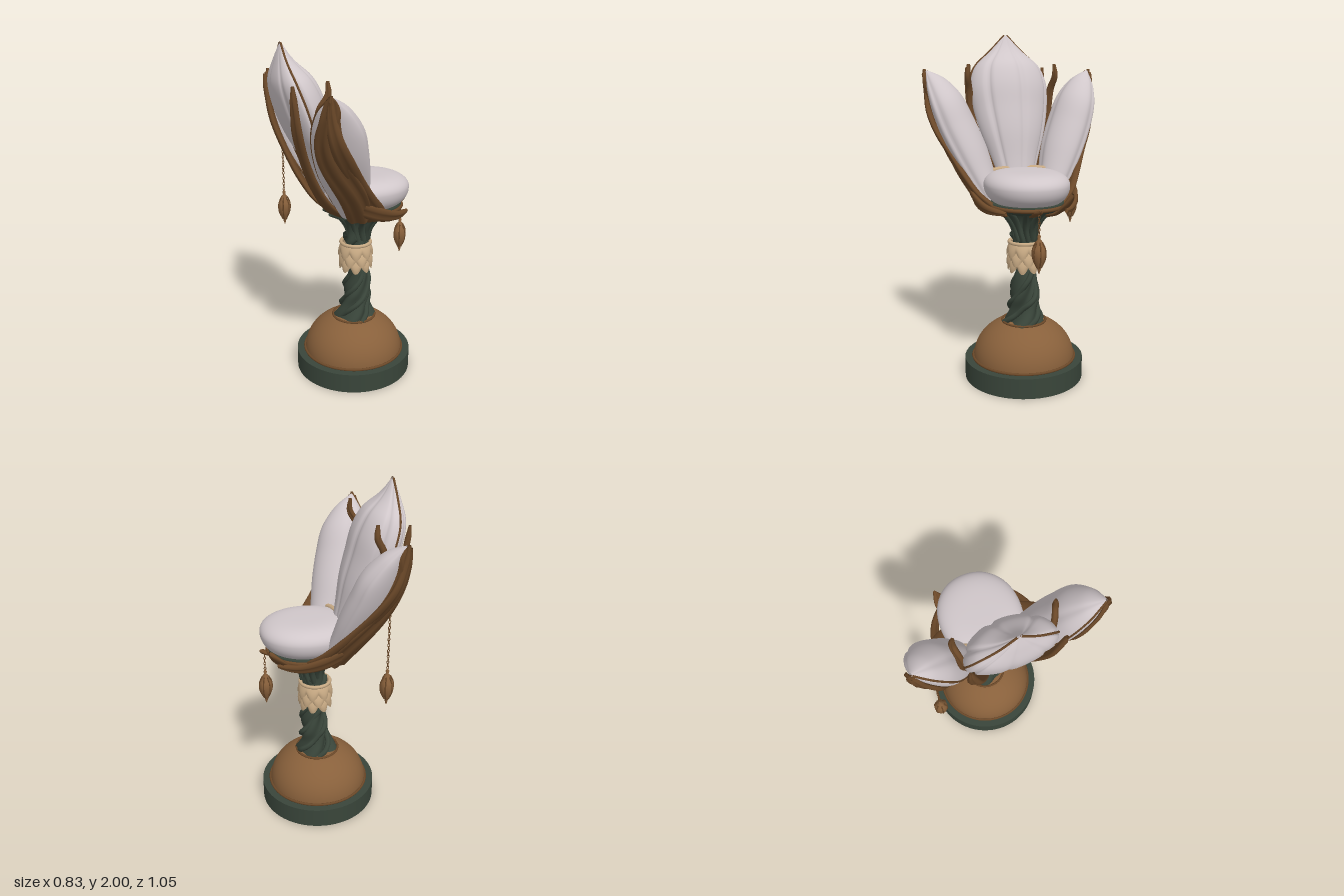
import * as THREE from 'three';

const mat = (name, color) => {
  const m = new THREE.MeshStandardMaterial({ color, side: THREE.DoubleSide });
  m.name = name;
  return m;
};
const V = (x, y, z) => new THREE.Vector3(x, y, z);
const TAU = Math.PI * 2;

// Surface from a rule f(u, angle): loops of m points, n rows
function loft(f, n, m) {
  const pos = [], idx = [];
  for (let i = 0; i <= n; i++)
    for (let j = 0; j < m; j++) pos.push(...f(i / n, (j / m) * TAU).toArray());
  for (let i = 0; i < n; i++)
    for (let j = 0; j < m; j++) {
      const a = i * m + j, b = i * m + ((j + 1) % m);
      idx.push(a, a + m, b, b, a + m, b + m);
    }
  const g = new THREE.BufferGeometry();
  g.setAttribute('position', new THREE.Float32BufferAttribute(pos, 3));
  g.setIndex(idx);
  g.computeVertexNormals();
  return g;
}

// Smooth path through [x, y, z, width] points; s mirrors it in z
function path(pts, s = 1) {
  const c = new THREE.CatmullRomCurve3(pts.map(p => V(p[0], p[1], p[2] * s)));
  const w = new THREE.CatmullRomCurve3(pts.map((p, i) => V(p[3], i, 0)));
  return { at: t => c.getPoint(t), dir: t => c.getTangent(t), width: t => Math.max(0.002, w.getPoint(t).x) };
}

// Puffed petal: point on the surface at height t and angle a (front is 0..PI)
function petalRule(pts, s, side, front, puffFront, puffBack) {
  const p = path(pts, s);
  return (t, a, grow = 0, seams = 0) => {
    const T = p.dir(t), w = p.width(t);
    const N = front.clone().addScaledVector(T, -front.dot(T)).normalize();
    const groove = seams ? 1 - 0.07 * Math.pow(Math.abs(Math.cos(seams * a)), 24) : 1;
    const d = Math.sin(a) > 0 ? puffFront : puffBack;
    return p.at(t)
      .addScaledVector(side, Math.cos(a) * (w * groove + grow))
      .addScaledVector(N, Math.sin(a) * (w * d * groove + grow));
  };
}

// Tapered flat leaf along a path, lying against the flower
function leaf(pts, s, thick) {
  const p = path(pts, s);
  return loft((t, a) => {
    const c = p.at(t), T = p.dir(t), w = p.width(t);
    const out = V(c.x - 0.12, -0.12, c.z);
    out.addScaledVector(T, -out.dot(T)).normalize();
    const W = T.clone().cross(out);
    const ridge = 1 + 0.35 * Math.cos(2 * a) * Math.cos(4 * a);
    return c.addScaledVector(W, Math.cos(a) * w)
      .addScaledVector(out, Math.sin(a) * Math.min(thick, w) * ridge);
  }, 36, 20);
}

export function createModel() {
  const green = mat('dark green', 0x39453a), brown = mat('bark brown', 0x6c4929);
  const warm = mat('warm brown', 0x88603b), white = mat('petal white', 0xd0c7ca), cream = mat('cream', 0xc8aa84);
  const model = new THREE.Group();
  const add = (name, geo, m, parent = model) => {
    const mesh = new THREE.Mesh(geo, m);
    mesh.name = name;
    parent.add(mesh);
    return mesh;
  };
  const ring = (name, r, tube, x, y, m) => {
    const mesh = add(name, new THREE.TorusGeometry(r, tube, 8, 48), m);
    mesh.rotation.x = Math.PI / 2;
    mesh.position.set(x, y, 0);
    return mesh;
  };

  // Base
  add('basePlinth', new THREE.CylinderGeometry(0.35, 0.35, 0.118, 64), green).position.set(0.062, 0.059, 0);
  const arc = [];
  for (let i = 0; i <= 16; i++) {
    const a = (i / 16) * 1.13;
    arc.push(new THREE.Vector2(0.298 * Math.cos(a), 0.118 + 0.245 * Math.sin(a)));
  }
  arc.push(new THREE.Vector2(0, 0.34));
  add('baseDome', new THREE.LatheGeometry(arc, 56), warm).position.x = 0.062;
  ring('domeBottomRing', 0.302, 0.008, 0.062, 0.124, brown);
  ring('domeTopRing', 0.128, 0.007, 0.065, 0.341, brown);

  // Twisted stem
  const prof = path([[0.07, 0.335, 0, 0.11], [0.075, 0.42, 0, 0.08], [0.085, 0.5, 0, 0.076], [0.09, 0.6, 0, 0.06],
    [0.078, 0.7, 0, 0.055], [0.08, 0.82, 0, 0.066], [0.085, 0.9, 0, 0.07], [0.09, 0.96, 0, 0.09], [0.095, 1.01, 0, 0.13], [0.1, 1.05, 0, 0.19]]);
  add('stem', loft((t, a) => {
    const c = prof.at(t), tw = a + Math.min(c.y, 0.85) * 8;
    const r = prof.width(t) * (1 + 0.14 * Math.cos(4 * tw) + 0.1 * Math.cos(2 * tw + 1));
    return V(c.x + Math.cos(a) * r, c.y, Math.sin(a) * r);
  }, 70, 60), green);
  for (let i = 0; i < 4; i++) {
    const pts = [];
    for (let k = 0; k <= 14; k++) {
      const t = (k / 14) * 0.62, a = i * 1.6 - k * 0.42, c = prof.at(t);
      const r = prof.width(t) * (1 + 0.12 * Math.sin(k * 1.3 + i * 2));
      pts.push(V(c.x + Math.cos(a) * r, c.y, Math.sin(a) * r));
    }
    add('stemVine', new THREE.TubeGeometry(new THREE.CatmullRomCurve3(pts), 50, 0.017, 7), green);
  }
  // Branches spreading under the seat
  for (let i = 0; i < 12; i++) {
    const a = (i / 12) * TAU + 0.26, q = (r, y, k = 0) => V(0.095 + Math.cos(a + k) * r, y, Math.sin(a + k) * r);
    const c = new THREE.CatmullRomCurve3([q(0.055, 0.84, -0.3), q(0.075, 0.92), q(0.125, 0.99), q(0.21, 1.04)]);
    add('branch', new THREE.TubeGeometry(c, 18, 0.016, 6), green);
  }

  // Ruffled collar in tiers
  for (let k = 0; k < 3; k++)
    add('collarRuffle', loft((t, a) => {
      const wave = Math.abs(Math.sin(4 * a + k * 1.57));
      const y = 0.825 - k * 0.045 - t * (0.055 + 0.035 * wave);
      const r = 0.083 + 0.014 * Math.sin(t * 2.4) + t * 0.012 * wave - (k === 2 ? 0.008 * t : 0);
      return V(0.075 + Math.cos(a) * r, y, Math.sin(a) * r);
    }, 8, 64), cream);
  ring('collarRim', 0.088, 0.011, 0.075, 0.822, cream);

  // Seat dish and cushion
  const dish = [[0.1, 1.0], [0.19, 1.025], [0.225, 1.05], [0.22, 1.07], [0, 1.06]].map(p => new THREE.Vector2(...p));
  const dishMesh = add('seatDish', new THREE.LatheGeometry(dish, 48), green);
  dishMesh.position.x = 0.125;
  dishMesh.scale.z = 0.95;
  ring('seatDishRim', 0.224, 0.011, 0.125, 1.052, brown).scale.y = 0.95;
  const soft = v => Math.sign(v) * Math.pow(Math.abs(v), 0.94);
  add('cushion', loft((t, a) => {
    const k = (t - 0.5) * Math.PI, w = Math.pow(Math.max(0, Math.cos(k)), 0.5);
    const y = 1.165 + Math.sin(k) * (k > 0 ? 0.08 : 0.12);
    return V(0.12 + 0.27 * w * soft(Math.cos(a)), y, 0.24 * w * soft(Math.sin(a)));
  }, 40, 56), white);
  const piping = new THREE.CatmullRomCurve3([V(-0.025, 1.218, -0.2), V(-0.055, 1.228, -0.12), V(-0.065, 1.23, 0), V(-0.055, 1.228, 0.12), V(-0.025, 1.218, 0.2)]);
  add('cushionBackPiping', new THREE.TubeGeometry(piping, 30, 0.016, 8), cream);

  // Raised edging along a petal
  const edging = (rule, a) => {
    const pts = [];
    for (let i = 0; i <= 24; i++) pts.push(rule(i / 24, a));
    add('petalEdging', new THREE.TubeGeometry(new THREE.CatmullRomCurve3(pts), 48, 0.006, 6), brown);
  };

  // Back petal
  const back = petalRule([[-0.075, 1.1, 0, 0.09], [-0.135, 1.25, 0, 0.135], [-0.2, 1.42, 0, 0.195], [-0.26, 1.56, 0, 0.23],
    [-0.305, 1.69, 0, 0.24], [-0.342, 1.81, 0, 0.2], [-0.358, 1.91, 0, 0.095], [-0.36, 2.0, 0, 0.008]],
  1, V(0, 0, 1), V(1, 0, 0), 0.67, 0.38);
  add('backPetal', loft((t, a) => back(t, a, 0, 3.5), 48, 98), white);
  edging(back, 0);
  edging(back, Math.PI);

  for (const s of [1, -1]) {
    // Side petal with its outer leaf
    const side = petalRule([[-0.01, 1.06, 0.17, 0.08], [-0.06, 1.18, 0.225, 0.11], [-0.115, 1.32, 0.285, 0.14], [-0.165, 1.47, 0.35, 0.148],
      [-0.2, 1.6, 0.4, 0.135], [-0.24, 1.71, 0.45, 0.085], [-0.275, 1.79, 0.495, 0.008]],
    s, V(0.86, 0, 0.51 * s), V(0.51, 0, -0.86 * s), 0.8, 0.55);
    add('sidePetal', loft((t, a) => side(t, a, 0, 1.5), 40, 60), white);
    edging(side, Math.PI);
    const spread = path([[0, 0, -1.0, 1.0], [0, 1, -1.15, 0.8], [0, 2, -1.4, 0.7], [0, 3, -1.75, 0.7], [0, 4, -1.9, 0.6], [0, 5, -1.8, 0.6], [0, 6, -1.6, 1.2]]);
    add('sidePetalLeaf', loft((t, a) => {
      const th = spread.at(t).z + spread.width(t) * Math.cos(a);
      return side(t, th, 0.005 + 0.02 * Math.max(0, Math.sin(a)) * (1 + 0.4 * Math.cos(8 * a)));
    }, 40, 36), brown);
    // Long twisting leaf from the seat up to the petal tip
    add('outerLeaf', leaf([[0.1, 0.99, 0.1, 0.03], [0.13, 1.03, 0.18, 0.045], [0.08, 1.1, 0.262, 0.05], [0, 1.2, 0.325, 0.045],
      [-0.09, 1.32, 0.385, 0.045], [-0.175, 1.44, 0.445, 0.05], [-0.24, 1.56, 0.482, 0.042], [-0.272, 1.68, 0.492, 0.028], [-0.28, 1.8, 0.508, 0.008]], s, 0.02), brown);
    // Leaves between the petals and along the back
    add('innerLeaf', leaf([[0.02, 1.02, 0.09, 0.04], [-0.1, 1.14, 0.15, 0.045], [-0.19, 1.32, 0.19, 0.035], [-0.25, 1.52, 0.23, 0.028],
      [-0.24, 1.68, 0.25, 0.022], [-0.2, 1.76, 0.265, 0.018], [-0.2, 1.83, 0.26, 0.009]], s, 0.016), brown);
    add('backLeaf', leaf([[0.02, 1.0, 0.06, 0.04], [-0.12, 1.08, 0.1, 0.055], [-0.22, 1.22, 0.13, 0.045], [-0.3, 1.4, 0.17, 0.038],
      [-0.35, 1.56, 0.21, 0.038], [-0.37, 1.7, 0.23, 0.024], [-0.38, 1.81, 0.24, 0.008]], s, 0.018), brown);
    add('seatRimLeaf', leaf([[-0.02, 1.13, 0.29, 0.05], [0.1, 1.08, 0.285, 0.045], [0.21, 1.05, 0.25, 0.03], [0.32, 1.04, 0.17, 0.01]], s, 0.018), brown);
  }
  // Leaves at the front of the seat
  add('seatCornerLeaf', leaf([[0.2, 1.0, -0.1, 0.02], [0.28, 1.035, -0.15, 0.045], [0.325, 1.08, -0.175, 0.045], [0.37, 1.14, -0.19, 0.006]], 1, 0.014), brown);
  add('frontHookLeaf', leaf([[0.22, 1.0, 0, 0.015], [0.3, 1.025, 0, 0.028], [0.36, 1.045, 0, 0.025], [0.395, 1.06, 0, 0.006]], 1, 0.012), brown);

  // Hanging lanterns on chains
  const shape = [[0.002, 0.115], [0.01, 0.1], [0.007, 0.085], [0.018, 0.072], [0.02, 0.055], [0.034, 0.035], [0.038, 0.005],
    [0.034, -0.03], [0.022, -0.05], [0.024, -0.058], [0.011, -0.075], [0.008, -0.09], [0.002, -0.11]].map(p => new THREE.Vector2(...p));
  for (const [x, z, y, top] of [[0.37, 0, 0.82, 1.04], [-0.24, -0.39, 0.955, 1.4]]) {
    const lantern = new THREE.Group();
    lantern.name = 'hangingLantern';
    lantern.position.set(x, y, z);
    add('lanternBody', new THREE.LatheGeometry(shape, 16), warm, lantern);
    for (let i = 0; i < 6; i++) {
      const a = (i / 6) * TAU, q = (r, h) => V(Math.cos(a) * r, h, Math.sin(a) * r);
      const c = new THREE.CatmullRomCurve3([q(0.018, 0.07), q(0.034, 0.035), q(0.038, 0.005), q(0.033, -0.03), q(0.012, -0.075)]);
      add('lanternRib', new THREE.TubeGeometry(c, 12, 0.004, 5), brown, lantern);
    }
    const n = Math.round((top - y - 0.11) / 0.017);
    for (let i = 0; i < n; i++) {
      const link = add('chainLink', new THREE.TorusGeometry(0.006, 0.0022, 5, 10), brown, lantern);
      link.scale.y = 1.5;
      link.position.y = 0.12 + i * 0.017;
      link.rotation.y = (i % 2) * Math.PI / 2;
    }
    model.add(lantern);
  }
  return model;
}
